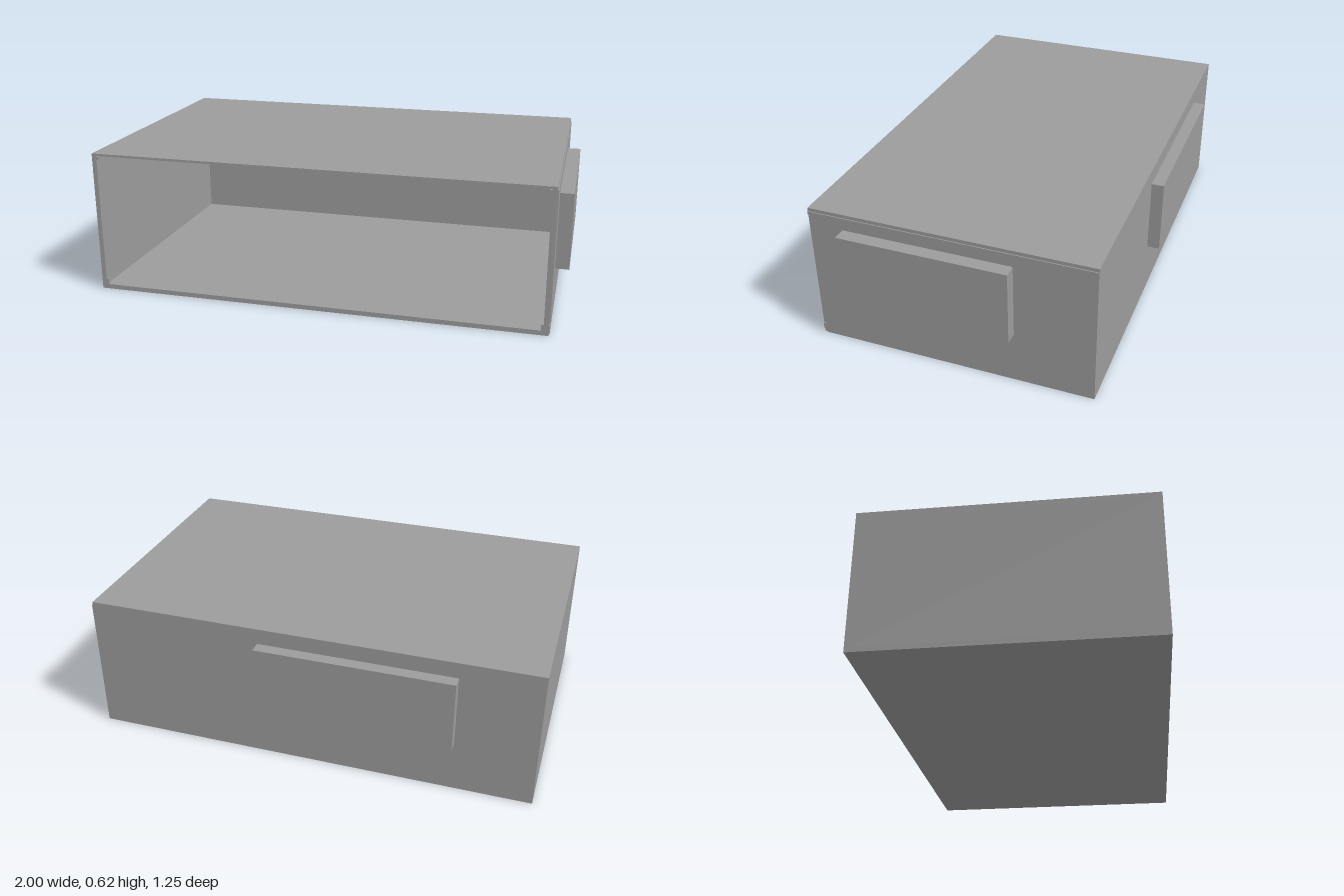
import * as THREE from 'three';

const material = new THREE.MeshStandardMaterial({ color: 0x9c9c9c, flatShading: true });

// Outer limits of the case, its wall thickness and the depth of the front rim
const X0 = -1, X1 = 0.94, H = 0.615, Z0 = -0.572, Z1 = 0.625, T = 0.02, RIM = 0.015;
// Outer face of the thin sheet on the left wall
const SHEET = 0.944;

function add(group, name, geometry) {
  const mesh = new THREE.Mesh(geometry, material);
  mesh.name = name;
  group.add(mesh);
}

// Box given by its limits on each axis
function block(group, name, [x0, x1], [y0, y1], [z0, z1]) {
  const geometry = new THREE.BoxGeometry(x1 - x0, y1 - y0, z1 - z0);
  geometry.translate((x0 + x1) / 2, (y0 + y1) / 2, (z0 + z1) / 2);
  add(group, name, geometry);
}

export function createModel() {
  const group = new THREE.Group();
  group.name = 'openCase';

  // Floor, side walls and back wall
  block(group, 'floor', [X0, X1], [0, T], [Z0, Z1]);
  block(group, 'rightWall', [X0, X0 + T], [T, H - 0.01], [Z0 + T, Z1]);
  block(group, 'leftWall', [X1 - T, X1], [T, H - 0.01], [Z0 + T, Z1]);
  block(group, 'backWall', [X0, X1], [T, H - 0.01], [Z0, Z0 + T]);

  // Thin outer sheet on the left wall, stopping short of the roof and the front rim
  block(group, 'leftSheet', [X1, SHEET], [0, 0.6], [Z0, Z1 - RIM]);

  // Roof whose underside falls gently to the back, drawn in z and y, extruded across x
  const profile = new THREE.Shape([
    [Z0, H], [Z0, H - 0.03], [Z1, H - 0.01], [Z1, H],
  ].map(([z, y]) => new THREE.Vector2(-z, y)));
  const roof = new THREE.ExtrudeGeometry(profile, { depth: X1 - X0, bevelEnabled: false });
  roof.rotateY(Math.PI / 2).translate(X0, 0, 0);
  add(group, 'roof', roof);

  // Small gussets in the four corners of the opening
  for (const height of [[T, 0.045], [0.587, 0.602]]) {
    block(group, 'rightGusset', [X0 + T, X0 + T + 0.01], height, [Z1 - RIM, Z1]);
    block(group, 'leftGusset', [X1 - T - 0.01, SHEET], height, [Z1 - RIM, Z1]);
  }

  // Raised panels on the model's left side and on the back
  block(group, 'sidePanel', [X1, 1], [0.228, 0.546], [-0.24, 0.474]);
  block(group, 'backPanel', [-0.662, 0.183], [0.228, 0.546], [-0.625, Z0]);

  return group;
}
